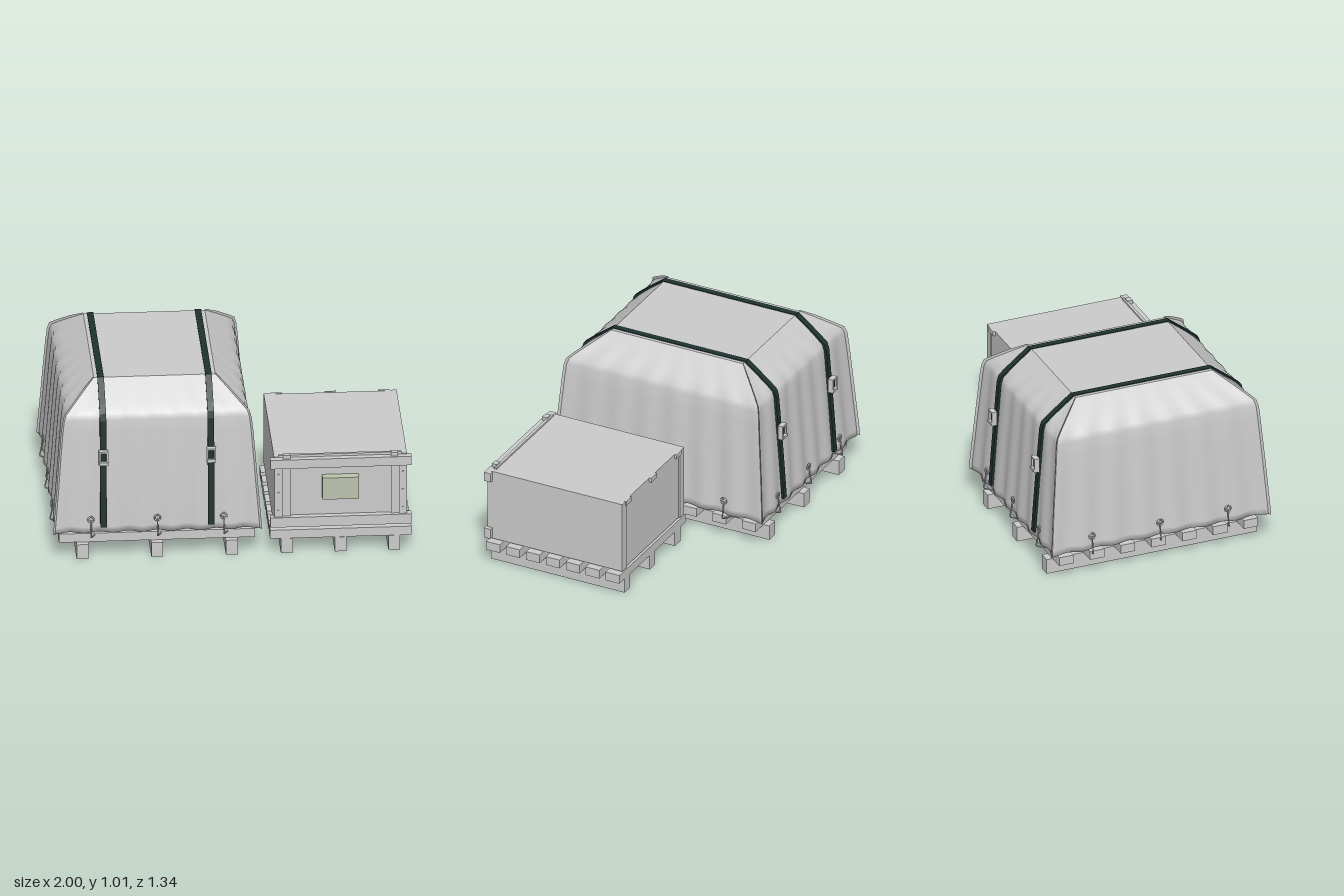
import * as THREE from 'three';

const grey = new THREE.MeshStandardMaterial({ color: 0xcccccc });
const cloth = new THREE.MeshStandardMaterial({ color: 0xcccccc, side: THREE.DoubleSide });
const webbing = new THREE.MeshStandardMaterial({ color: 0x1f3230 });
const plate = new THREE.MeshStandardMaterial({ color: 0xbcc4ae });

function add(parent, name, geometry, material = grey) {
  const mesh = new THREE.Mesh(geometry, material);
  mesh.name = name;
  parent.add(mesh);
  return mesh;
}

// Box given by its extents on each axis
function box(parent, name, x0, x1, y0, y1, z0, z1, material) {
  const mesh = add(parent, name, new THREE.BoxGeometry(x1 - x0, y1 - y0, z1 - z0), material);
  mesh.position.set((x0 + x1) / 2, (y0 + y1) / 2, (z0 + z1) / 2);
  return mesh;
}

// Three runners below seven deck boards
function pallet(name, x0, x1, z0, z1, runners, firstBoard, pitch) {
  const g = new THREE.Group();
  g.name = name;
  for (const x of runners) box(g, 'runner', x - 0.033, x + 0.033, 0, 0.088, z0, z1);
  for (let i = 0; i < 7; i++) {
    const z = firstBoard + i * pitch;
    box(g, 'deckBoard', x0, x1, 0.088, 0.14, z - 0.043, z + 0.043);
  }
  return g;
}

// Tarp section by height: y, half width in x, half depth in z, fold strength
const RINGS = [
  [0.165, 0.54, 0.615, 0.6], [0.165, 0.57, 0.652, 1], [0.2, 0.567, 0.65, 1], [0.3, 0.559, 0.643, 0.85],
  [0.45, 0.547, 0.632, 0.7], [0.6, 0.536, 0.62, 0.6], [0.75, 0.524, 0.608, 0.55],
  [0.83, 0.515, 0.601, 0.5], [0.865, 0.503, 0.59, 0.45], [0.9, 0.465, 0.55, 0.3],
  [0.96, 0.396, 0.474, 0.1], [1.008, 0.338, 0.412, 0],
];

// One wall of the tarp with scalloped folds, facing local +z
function tarpWall(odd) {
  const n = 84, pos = [], idx = [];
  RINGS.forEach(([y, hx, hz, fold], j) => {
    const [w, d] = odd ? [hz, hx] : [hx, hz];
    for (let i = 0; i <= n; i++) {
      const t = (i / n) * 2 - 1;
      const dip = 0.5 - 0.5 * Math.cos(Math.PI * 7 * (t + 1));
      pos.push(t * w, y + 0.004 * dip * (j < 3 ? 1 : 0), d - 0.014 * fold * dip);
      if (i < n && j < RINGS.length - 1) {
        const a = j * (n + 1) + i, b = a + n + 1;
        idx.push(a, a + 1, b, a + 1, b + 1, b);
      }
    }
  });
  const g = new THREE.BufferGeometry();
  g.setAttribute('position', new THREE.Float32BufferAttribute(pos, 3));
  g.setIndex(idx);
  g.computeVertexNormals();
  return g;
}

// Narrow seam flap standing out along a corner of the tarp
function cornerFlap(odd) {
  const pos = [], idx = [];
  RINGS.slice(1).forEach(([y, hx, hz], j, all) => {
    const [w, d] = odd ? [hz, hx] : [hx, hz];
    const out = y > 1 ? 0.002 : 0.012;
    pos.push(w - 0.004, y, d - 0.004, w + out, y + (y > 0.85 ? 0.006 : 0), d + out);
    if (j < all.length - 1) {
      const a = j * 2;
      idx.push(a, a + 1, a + 2, a + 1, a + 3, a + 2);
    }
  });
  const g = new THREE.BufferGeometry();
  g.setAttribute('position', new THREE.Float32BufferAttribute(pos, 3));
  g.setIndex(idx);
  g.computeVertexNormals();
  return g;
}

// Strap running up the front, over the top and down the back
function strapGeometry(width) {
  const side = (off) => RINGS.slice(2).map(([y, , z]) => [z + off, y + (y > 0.85 ? off * 0.5 : 0)]);
  const outer = side(0.008), inner = side(-0.006);
  const path = [
    ...outer, ...outer.map(([z, y]) => [-z, y]).reverse(),
    ...inner.map(([z, y]) => [-z, y]), ...inner.reverse(),
  ];
  const shape = new THREE.Shape(path.map(([z, y]) => new THREE.Vector2(z, y)));
  const g = new THREE.ExtrudeGeometry(shape, { depth: width, bevelEnabled: false });
  return g.rotateY(-Math.PI / 2).translate(width / 2, 0, 0);
}

// Open rectangular frame
function frameGeometry(w, h, rim, depth) {
  const rect = (T, a, b) => new T([[-a, -b], [a, -b], [a, b], [-a, b]].map((p) => new THREE.Vector2(...p)));
  const shape = rect(THREE.Shape, w / 2, h / 2);
  shape.holes.push(rect(THREE.Path, w / 2 - rim, h / 2 - rim));
  return new THREE.ExtrudeGeometry(shape, { depth, bevelEnabled: false });
}

// Eyelet with a cord hooked under the deck
function tieDown(parent, x, d) {
  const g = new THREE.Group();
  g.name = 'tieDown';
  g.position.x = x;
  add(g, 'eyelet', new THREE.TorusGeometry(0.016, 0.005, 8, 20)).position.set(0, 0.247, d - 0.002);
  const pts = [[0, 0.247, d], [0, 0.19, d + 0.006], [0, 0.145, d + 0.016], [0.01, 0.132, d - 0.02], [0.025, 0.13, d - 0.055]];
  const path = new THREE.CurvePath();
  for (let i = 0; i < pts.length - 1; i++) {
    path.add(new THREE.LineCurve3(new THREE.Vector3(...pts[i]), new THREE.Vector3(...pts[i + 1])));
  }
  add(g, 'cord', new THREE.TubeGeometry(path, 24, 0.004, 6));
  parent.add(g);
}

function coveredLoad() {
  const g = new THREE.Group();
  g.name = 'coveredLoad';
  g.position.x = -0.415;
  for (let i = 0; i < 4; i++) {
    const odd = i % 2 === 1, face = new THREE.Group();
    face.name = 'tarpSide';
    face.rotation.y = (i * Math.PI) / 2;
    add(face, 'tarpWall', tarpWall(odd), cloth);
    add(face, 'cornerFlap', cornerFlap(odd), cloth);
    const reach = odd ? 0.41 : 0.37;
    for (const x of [-reach, 0, reach]) tieDown(face, x, odd ? 0.566 : 0.65);
    // Ratchet buckles on the front and back
    if (!odd) for (const x of [-0.3, 0.3]) {
      add(face, 'buckle', frameGeometry(0.052, 0.085, 0.01, 0.03)).position.set(x, 0.62, 0.625);
      box(face, 'buckleBar', x - 0.024, x + 0.024, 0.585, 0.6, 0.63, 0.662);
      box(face, 'buckleStrap', x - 0.016, x + 0.016, 0.6, 0.655, 0.62, 0.645, webbing);
    }
    g.add(face);
  }
  const top = add(g, 'tarpTop', new THREE.PlaneGeometry(0.676, 0.824), cloth);
  top.rotation.x = -Math.PI / 2;
  top.position.y = 1.008;
  for (const x of [-0.3, 0.3]) add(g, 'strap', strapGeometry(0.036), webbing).position.x = x;
  return g;
}

function crate() {
  const g = new THREE.Group();
  g.name = 'crate';
  box(g, 'crateBody', 0.236, 0.976, 0.155, 0.58, -0.2, 0.612);
  // Front frame: rails, doubled posts and bolts
  for (const [y0, y1] of [[0.163, 0.222], [0.522, 0.576]]) box(g, 'frontRail', 0.213, 1, y0, y1, 0.605, 0.647);
  for (const s of [-1, 1]) {
    const at = (a, b) => [0.606 + s * a, 0.606 + s * b].sort((p, q) => p - q);
    box(g, 'outerPost', ...at(0.37, 0.325), 0.222, 0.522, 0.6, 0.636);
    box(g, 'innerPost', ...at(0.325, 0.28), 0.222, 0.522, 0.6, 0.626);
    for (const y of [0.26, 0.37, 0.48]) {
      const bolt = add(g, 'bolt', new THREE.CylinderGeometry(0.006, 0.006, 0.008, 10));
      bolt.rotation.x = Math.PI / 2;
      bolt.position.set(0.606 + s * 0.347, y, 0.638);
    }
    box(g, 'topCleat', ...at(0.32, 0.28), 0.57, 0.598, 0.605, 0.635);
    box(g, 'backPost', ...at(0.37, 0.32), 0.155, 0.58, -0.208, -0.198);
  }
  box(g, 'lidBar', 0.262, 0.945, 0.578, 0.59, 0.596, 0.612);
  for (const x of [0.306, 0.606, 0.906]) box(g, 'backCleat', x - 0.032, x + 0.032, 0.555, 0.582, -0.214, -0.198);
  box(g, 'infoPlate', 0.503, 0.707, 0.333, 0.465, 0.61, 0.662, plate);
  return g;
}

export function createModel() {
  const model = new THREE.Group();
  model.name = 'palletCargo';
  model.add(
    pallet('largePallet', -0.96, 0.13, -0.635, 0.635, [-0.83, -0.415, 0], -0.557, 0.1857),
    coveredLoad(),
    pallet('smallPallet', 0.213, 1, -0.203, 0.635, [0.306, 0.606, 0.904], -0.16, 0.125),
    crate(),
  );
  return model;
}
